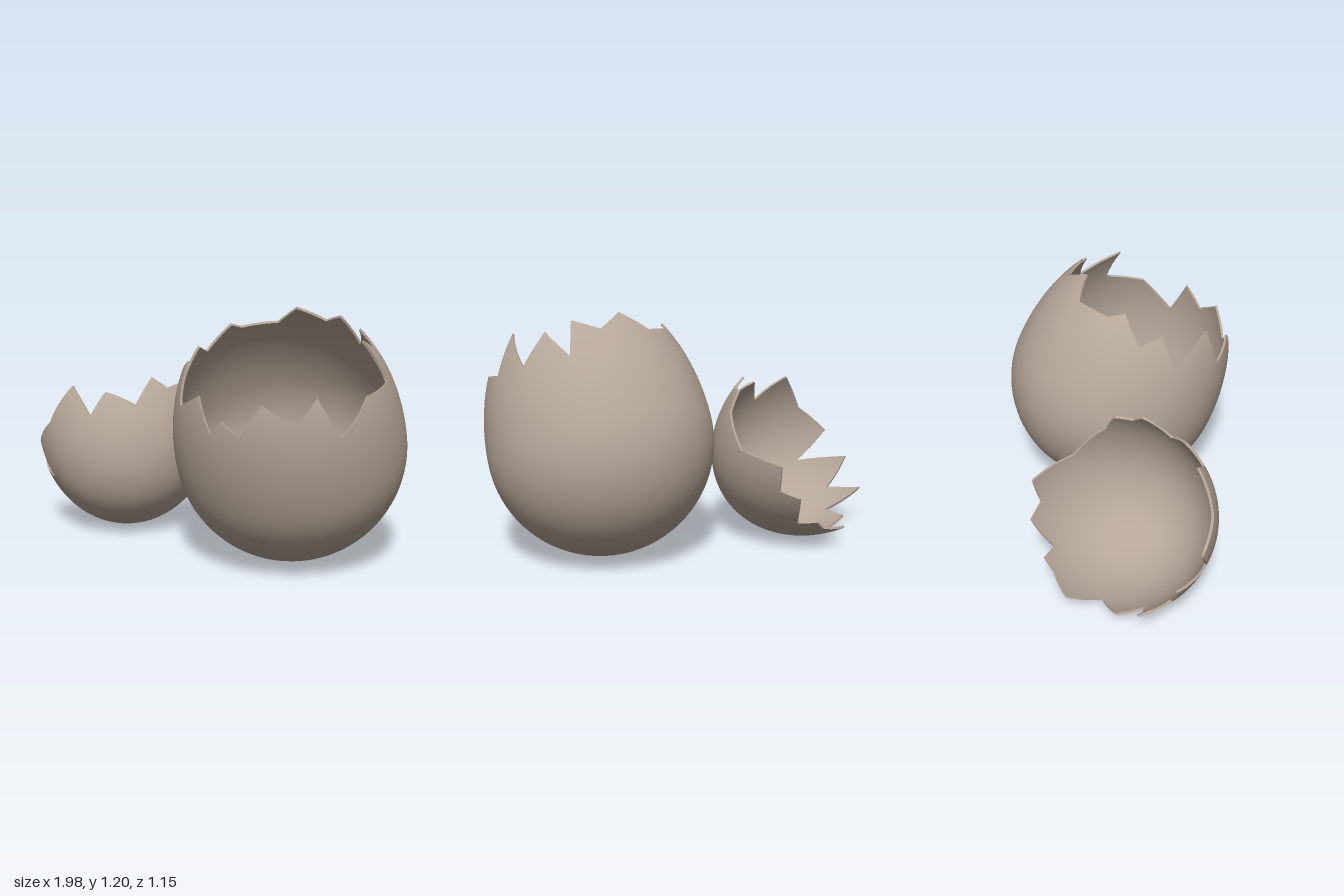
import * as THREE from 'three';

const material = new THREE.MeshStandardMaterial({ color: 0xb5a698, side: THREE.DoubleSide });
const THICKNESS = 0.012, ROWS = 28, STEPS = 6;

// Crack line of each shell: tips and notches in order around the opening
const LARGE_RIM = [
  [0.38, 1.22, -0.17], [0.49, 1.15, -0.27], [0.62, 1.2, -0.2], [0.65, 1.04, -0.34],
  [0.74, 1.14, -0.18], [0.85, 0.98, -0.22], [0.88, 1.13, 0.01], [0.94, 0.91, -0.07],
  [0.97, 0.88, 0.14], [0.94, 0.71, 0.3], [0.87, 0.9, 0.39], [0.81, 0.78, 0.46],
  [0.68, 0.865, 0.54], [0.58, 0.71, 0.56], [0.49, 0.77, 0.57], [0.43, 0.705, 0.565],
  [0.35, 0.86, 0.54], [0.195, 0.785, 0.47], [0.18, 1.0, 0.43], [0.015, 0.875, 0.25],
  [0.06, 1.03, 0.2], [0.02, 0.99, 0.085], [0.115, 1.13, 0.02], [0.136, 1.08, -0.06],
  [0.25, 1.11, -0.2],
];
const SMALL_RIM = [
  [-0.74, 0.11, -0.27], [-0.6, 0.13, -0.33], [-0.55, 0.17, -0.38], [-0.47, 0.17, -0.33],
  [-0.44, 0.31, -0.44], [-0.355, 0.35, -0.39], [-0.334, 0.47, -0.444], [-0.2, 0.52, -0.24],
  [-0.18, 0.68, -0.08], [-0.25, 0.78, -0.04], [-0.25, 0.77, 0.05], [-0.31, 0.83, 0.1],
  [-0.31, 0.7, 0.23], [-0.45, 0.76, 0.3], [-0.48, 0.645, 0.385], [-0.65, 0.785, 0.35],
  [-0.75, 0.576, 0.36], [-0.9, 0.453, 0.35], [-0.744, 0.288, 0.364], [-0.98, 0.32, 0.235],
  [-0.86, 0.16, 0.21], [-1.0, 0.17, 0.06], [-0.805, 0.06, 0.1], [-0.845, 0.07, -0.04],
  [-0.69, 0.02, -0.107],
];

function makeGeometry(positions, normals, index) {
  const g = new THREE.BufferGeometry();
  g.setAttribute('position', new THREE.Float32BufferAttribute(positions, 3));
  if (normals) g.setAttribute('normal', new THREE.Float32BufferAttribute(normals, 3));
  g.setIndex(index);
  if (!normals) g.computeVertexNormals();
  return g;
}

// Point on the egg: azimuth, latitude, inset from the outer surface
function eggPoint(egg, az, lat, inset) {
  const a = (lat < 0 ? egg.low : egg.high) - inset, r = (egg.radius - inset) * Math.cos(lat);
  return new THREE.Vector3(r * Math.cos(az), a * Math.sin(lat), r * Math.sin(az));
}

// Rim as columns of [azimuth, latitude], with straight cracks between points
function rimColumns(egg, rim, toLocal) {
  const keys = [];
  for (const p of rim) {
    const v = new THREE.Vector3(...p).sub(egg.center).applyQuaternion(toLocal);
    const a = v.y < 0 ? egg.low : egg.high;
    let az = Math.atan2(v.z, v.x);
    if (keys.length) {
      const last = keys[keys.length - 1][0];
      while (az < last - Math.PI) az += Math.PI * 2;
      az = Math.max(az, last + 0.006);
    }
    keys.push([az, Math.atan2(v.y / a, Math.hypot(v.x, v.z) / egg.radius)]);
  }
  keys.push([keys[0][0] + Math.PI * 2, keys[0][1]]);
  const columns = [];
  for (let i = 0; i < keys.length - 1; i++)
    for (let s = 0; s < STEPS; s++)
      columns.push([0, 1].map(k => THREE.MathUtils.lerp(keys[i][k], keys[i + 1][k], s / STEPS)));
  columns.push(keys[keys.length - 1]);
  return columns;
}

// Smooth wall from the closed end up to the crack line
function wall(egg, columns, inset, sign) {
  const pos = [], nor = [], idx = [];
  columns.forEach(([az, top], c) => {
    for (let r = 0; r <= ROWS; r++) {
      const lat = THREE.MathUtils.lerp(-Math.PI / 2, top, r / ROWS);
      const p = eggPoint(egg, az, lat, inset);
      const a = lat < 0 ? egg.low : egg.high;
      const n = new THREE.Vector3(p.x / egg.radius ** 2, p.y / a ** 2, p.z / egg.radius ** 2);
      n.normalize().multiplyScalar(sign);
      pos.push(...p.toArray());
      nor.push(...n.toArray());
      if (c < columns.length - 1 && r < ROWS) {
        const i = c * (ROWS + 1) + r, j = i + ROWS + 1;
        if (sign > 0) idx.push(i, i + 1, j, j, i + 1, j + 1);
        else idx.push(i, j, i + 1, j, j + 1, i + 1);
      }
    }
  });
  return makeGeometry(pos, nor, idx);
}

// Thin broken edge joining the outer and inner walls
function edge(egg, columns) {
  const pos = [], idx = [];
  columns.forEach(([az, lat], c) => {
    pos.push(...eggPoint(egg, az, lat, 0).toArray(), ...eggPoint(egg, az, lat, THICKNESS).toArray());
    const i = c * 2;
    if (c < columns.length - 1) idx.push(i, i + 1, i + 2, i + 2, i + 1, i + 3);
  });
  return makeGeometry(pos, null, idx);
}

function brokenShell(name, egg, rim) {
  const shell = new THREE.Group();
  shell.name = name;
  shell.position.copy(egg.center);
  shell.quaternion.setFromUnitVectors(new THREE.Vector3(0, 1, 0), egg.axis.clone().normalize());
  const columns = rimColumns(egg, rim, shell.quaternion.clone().invert());
  const parts = {
    outerWall: wall(egg, columns, 0, 1),
    innerWall: wall(egg, columns, THICKNESS, -1),
    brokenEdge: edge(egg, columns),
  };
  for (const [part, geometry] of Object.entries(parts)) {
    const mesh = new THREE.Mesh(geometry, material);
    mesh.name = part;
    shell.add(mesh);
  }
  return shell;
}

export function createModel() {
  const model = new THREE.Group();
  model.name = 'brokenEggshell';
  model.add(
    // Large piece: the blunt end of the egg, leaning forward
    brokenShell('largeShell', {
      center: new THREE.Vector3(0.447, 0.552, -0.03), axis: new THREE.Vector3(0.12, 0.9, 0.42),
      radius: 0.55, low: 0.55, high: 0.79,
    }, LARGE_RIM),
    // Small piece: the pointed end, opening up and backward to its right
    brokenShell('smallShell', {
      center: new THREE.Vector3(-0.664, 0.531, -0.093), axis: new THREE.Vector3(-0.52, 0.616, -0.59),
      radius: 0.48, low: 0.605, high: 0.6,
    }, SMALL_RIM),
  );
  return model;
}
